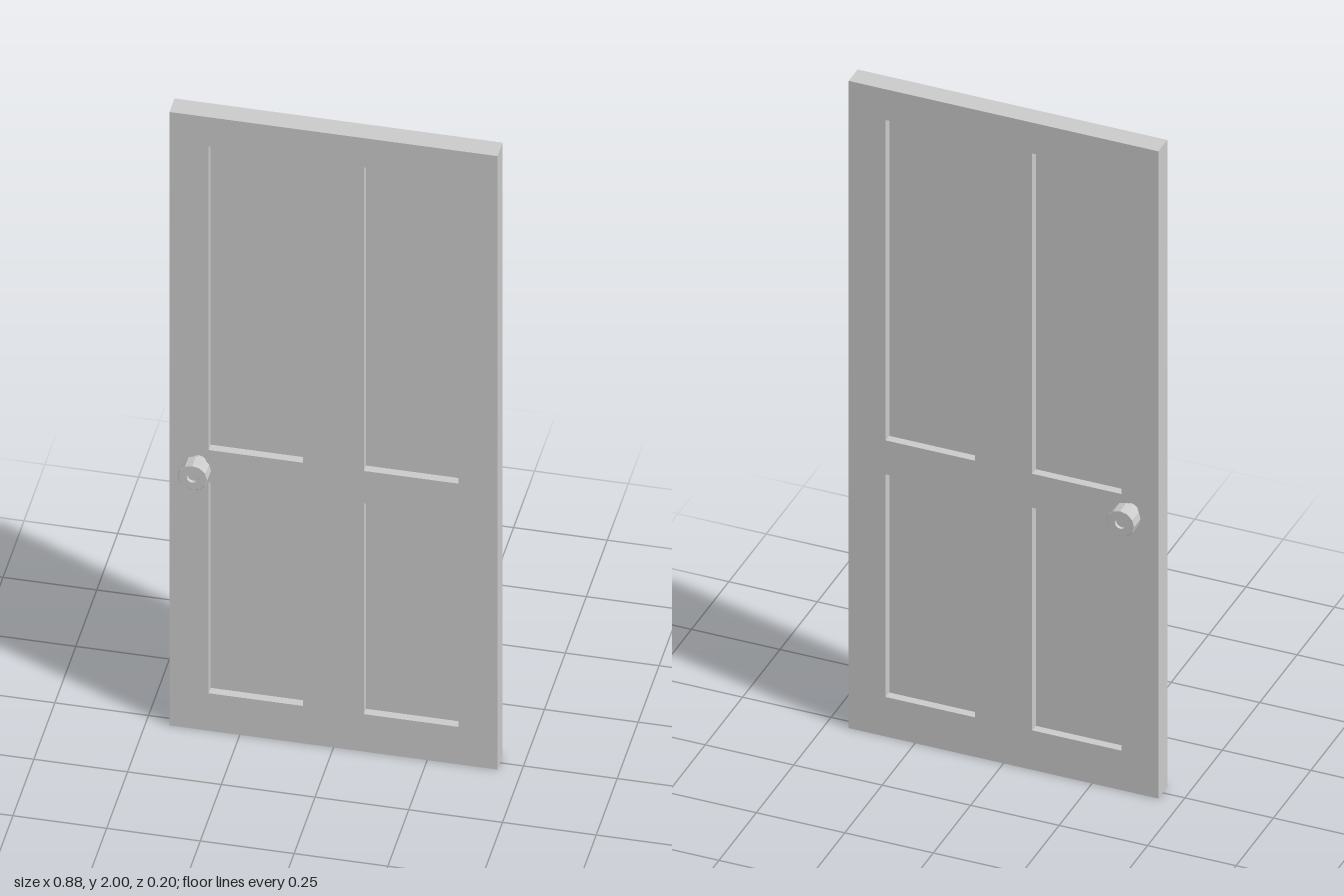
import * as THREE from 'three';

const material = new THREE.MeshStandardMaterial({ color: 0xcccccc, flatShading: true });

const WIDTH = 0.875, HEIGHT = 2, THICKNESS = 0.06, PANEL_THICKNESS = 0.012;
const PANEL_X = 0.207, PANEL_WIDTH = 0.252;
const PANEL_ROWS = [[0.122, 0.81], [0.915, 1.905]]; // bottom and top of each row

function add(parent, name, geometry) {
  const mesh = new THREE.Mesh(geometry, material);
  mesh.name = name;
  parent.add(mesh);
  return mesh;
}

function rectangle(path, x0, y0, x1, y1) {
  path.moveTo(x0, y0);
  path.lineTo(x1, y0);
  path.lineTo(x1, y1);
  path.lineTo(x0, y1);
  path.closePath();
  return path;
}

export function createModel() {
  const door = new THREE.Group();
  door.name = 'door';

  // Frame with four openings, each closed by a thin recessed panel
  const outline = rectangle(new THREE.Shape(), -WIDTH / 2, 0, WIDTH / 2, HEIGHT);
  for (const [bottom, top] of PANEL_ROWS) {
    for (const side of [-1, 1]) {
      const x = side * PANEL_X;
      outline.holes.push(rectangle(new THREE.Path(),
        x - PANEL_WIDTH / 2, bottom, x + PANEL_WIDTH / 2, top));
      add(door, 'recessedPanel', new THREE.BoxGeometry(PANEL_WIDTH, top - bottom, PANEL_THICKNESS))
        .position.set(x, (bottom + top) / 2, 0);
    }
  }
  const frame = new THREE.ExtrudeGeometry(outline, { depth: THICKNESS, bevelEnabled: false });
  frame.translate(0, 0, -THICKNESS / 2);
  add(door, 'doorFrame', frame);

  // Knob on each face: neck, flared head and a small keyhole dimple
  const profile = [
    [0.022, 0.025], [0.022, 0.045], [0.04, 0.06], [0.04, 0.099],
    [0.038, 0.101], [0.016, 0.101], [0.014, 0.094], [0, 0.094],
  ].map(([r, z]) => new THREE.Vector2(r, z));
  const knob = new THREE.LatheGeometry(profile, 12, Math.PI / 2);
  for (const side of [-1, 1]) {
    const mesh = add(door, side > 0 ? 'frontKnob' : 'backKnob', knob);
    mesh.rotation.x = side * Math.PI / 2;
    mesh.position.set(-0.36, 0.872, 0);
  }
  return door;
}
